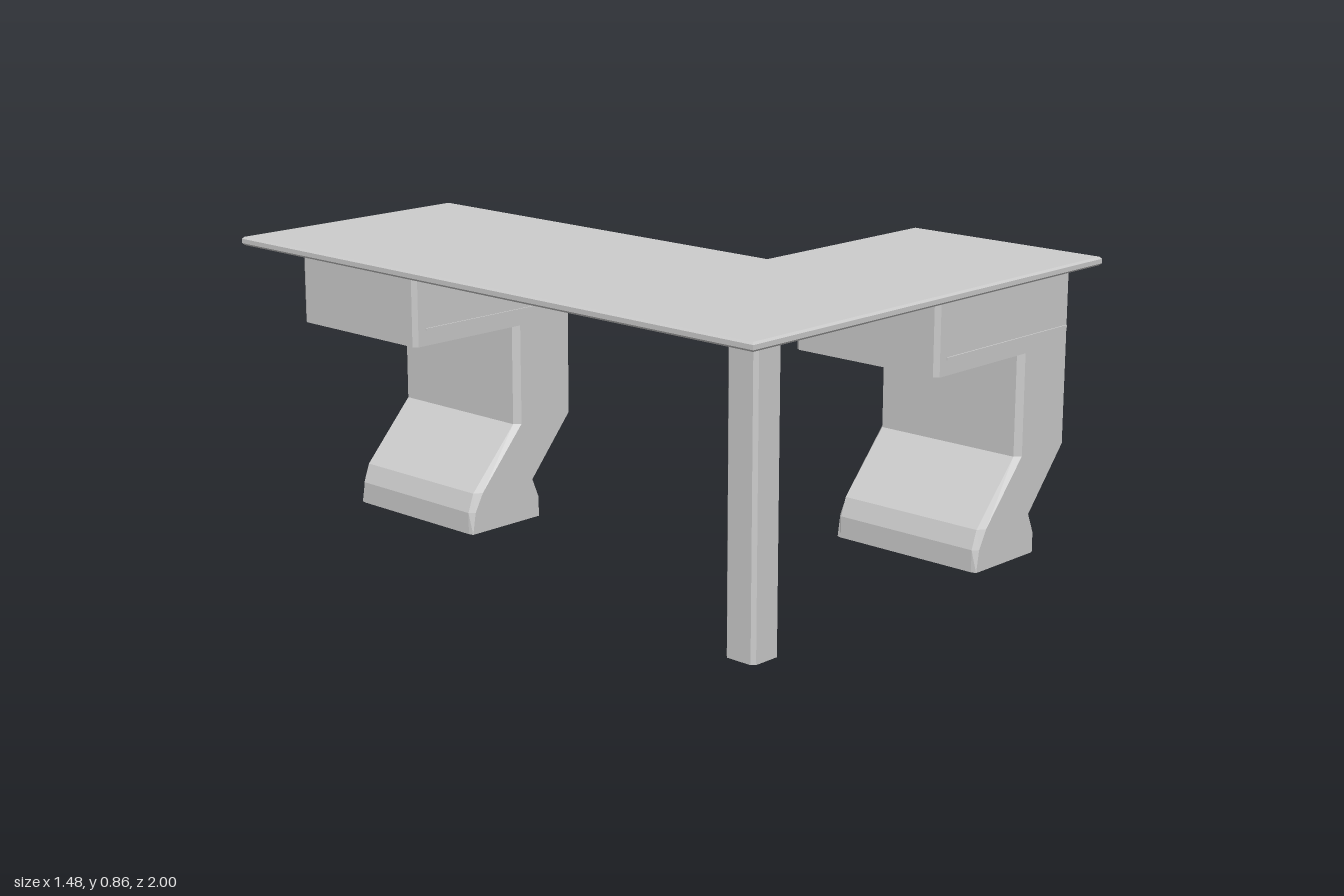
import * as THREE from 'three';

const grey = new THREE.MeshStandardMaterial({ color: 0xcccccc, side: THREE.DoubleSide });
grey.name = 'plain grey';

function add(parent, name, geometry, x = 0, y = 0, z = 0) {
  const mesh = new THREE.Mesh(geometry, grey);
  mesh.name = name;
  mesh.position.set(x, y, z);
  parent.add(mesh);
  return mesh;
}

// Open-bottomed shell: rings are outlines [[x, y], ...] with a z each; the last-to-first side stays open.
function shell(rings) {
  const out = [];
  const put = (ring, i) => out.push(ring.pts[i][0], ring.pts[i][1], ring.z);
  for (let k = 0; k < rings.length - 1; k++) {
    const a = rings[k], b = rings[k + 1];
    for (let i = 0; i < a.pts.length - 1; i++) {
      put(a, i); put(a, i + 1); put(b, i + 1);
      put(a, i); put(b, i + 1); put(b, i);
    }
  }
  const outline = rings[0].pts.map(p => new THREE.Vector2(p[0], p[1]));
  for (const [a, b, c] of THREE.ShapeUtils.triangulateShape(outline, [])) {
    const back = rings[0], front = rings[rings.length - 1];
    put(back, a); put(back, c); put(back, b);
    put(front, a); put(front, b); put(front, c);
  }
  const geometry = new THREE.BufferGeometry();
  geometry.setAttribute('position', new THREE.Float32BufferAttribute(out, 3));
  geometry.computeVertexNormals();
  return geometry;
}

// Pedestal outline: x, y and the x inset of the chamfered end faces
const outline = [
  [0.6, 0, -0.004], [0.6, 0.06, -0.004], [0.575, 0.12, -0.004], [0.73, 0.3, -0.004],
  [0.73, 0.835, -0.004], [0.125, 0.835, 0.01], [0.125, 0.6, 0.01], [0.51, 0.6, 0.02],
  [0.51, 0.3, 0.02], [0.345, 0.12, 0.025], [0.325, 0.065, 0.015], [0.325, 0, 0.004],
];

function pedestal(name, x, z) {
  const group = new THREE.Group();
  group.name = name;
  group.position.set(x, 0, z);
  const full = outline.map(([px, py]) => [px, py]);
  const inset = outline.map(([px, py, d]) => [px + d, py]);
  const half = 0.252, chamfer = 0.015;
  add(group, 'pedestalBody', shell([
    { pts: inset, z: -half }, { pts: full, z: -half + chamfer },
    { pts: full, z: half - chamfer }, { pts: inset, z: half },
  ]));
  // Narrow ledge on both faces
  for (const s of [-1, 1])
    add(group, 'ledge', new THREE.BoxGeometry(0.56, 0.008, 0.008), 0.443, 0.647, s * half);
  return group;
}

export function createModel() {
  const model = new THREE.Group();
  model.name = 'cornerDesk';

  // L-shaped top with softened edges
  const b = 0.006;
  const corners = [[-0.74, -1], [0.74, -1], [0.74, -0.335], [0.07, -0.335], [0.07, 1], [-0.74, 1]];
  const shape = new THREE.Shape(corners.map(([x, y]) => new THREE.Vector2(x, y)));
  const top = new THREE.ExtrudeGeometry(shape, {
    depth: 0.025 - 2 * b, bevelEnabled: true, bevelThickness: b, bevelSize: b, bevelOffset: -b, bevelSegments: 1,
  });
  top.rotateX(-Math.PI / 2);
  add(model, 'tableTop', top, 0, 0.835 + b, 0);

  // Two pedestals with kinked legs
  model.add(pedestal('frontPedestal', 0, 0.647));
  const rear = pedestal('rearPedestal', -0.73, -0.643);
  model.add(rear);

  // Drawer on the inner end of the rear pedestal
  add(rear, 'drawerFrame', new THREE.BoxGeometry(0.008, 0.19, 0.48), 0.731, 0.74, 0);
  add(rear, 'drawerFront', new THREE.BoxGeometry(0.018, 0.175, 0.46), 0.736, 0.7425, 0);

  // Corner post, hollow, with chamfered edges
  const c = 0.01, h = 0.05;
  const ring = [[h, -h + c], [h, h - c], [h - c, h], [-h + c, h], [-h, h - c], [-h, -h + c], [-h + c, -h], [h - c, -h]];
  const walls = [];
  ring.forEach(([x, z], i) => {
    const [x2, z2] = ring[(i + 1) % ring.length];
    walls.push(x, 0, z, x, 0.835, z, x2, 0.835, z2, x, 0, z, x2, 0.835, z2, x2, 0, z2);
  });
  const post = new THREE.BufferGeometry();
  post.setAttribute('position', new THREE.Float32BufferAttribute(walls, 3));
  post.computeVertexNormals();
  add(model, 'cornerPost', post, -0.61, 0, 0.89);

  return model;
}
